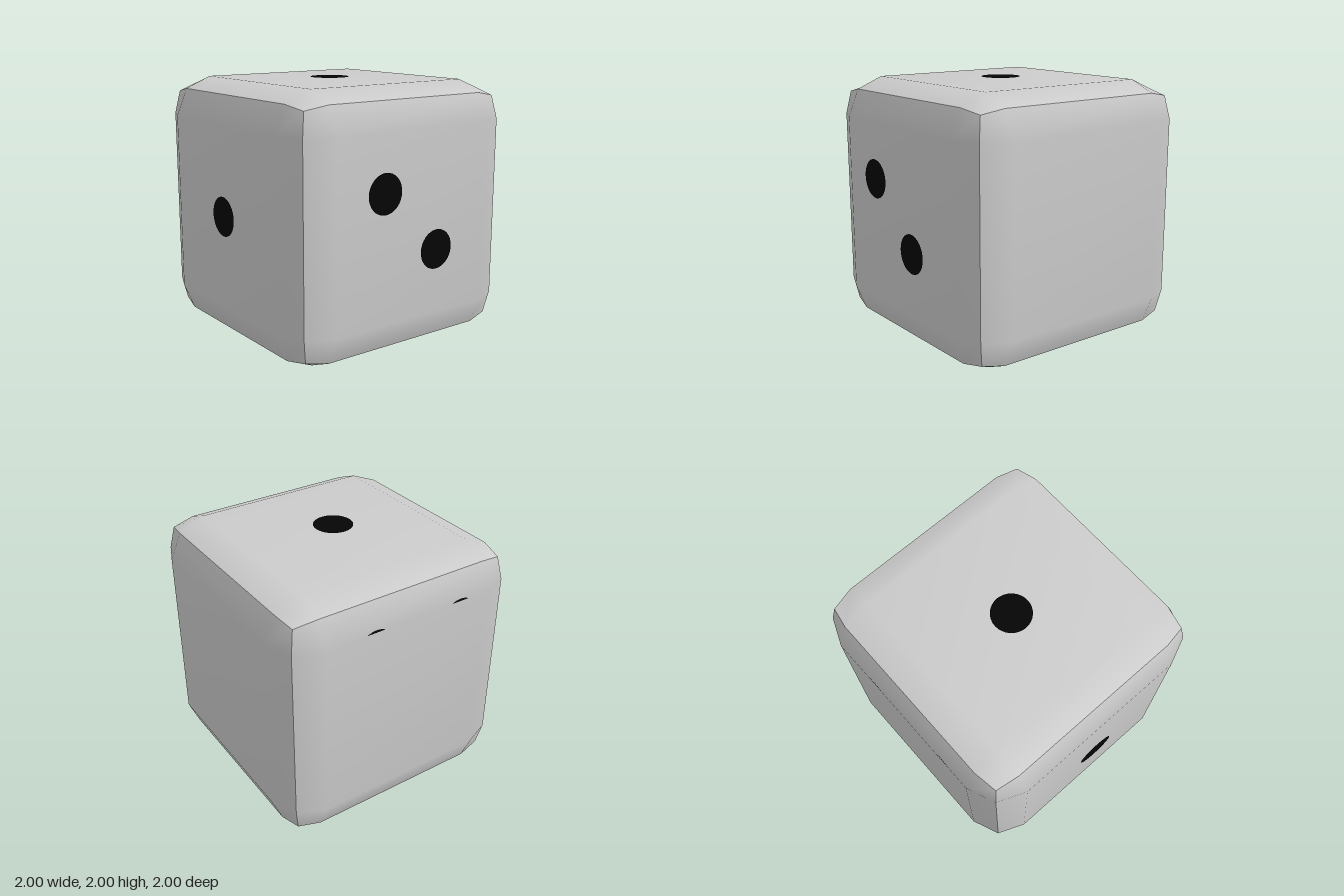
import * as THREE from 'three';

const HALF = 0.9925;  // centre to flat face
const FLAT = 0.695;   // half width of the flat area
const EDGE = 0.905;   // bevelled edge line
const CORNER = 0.873; // bevelled corner point
const PIP_RADIUS = 0.15;

const bodyMaterial = new THREE.MeshStandardMaterial({ color: 0xcccccc });
const pipMaterial = new THREE.MeshStandardMaterial({ color: 0x050505, side: THREE.DoubleSide });

// One cube side: a 3 x 3 grid whose rim is drawn back to the bevelled edges
function sideGeometry() {
  const geometry = new THREE.PlaneGeometry(2, 2, 3, 3);
  const p = geometry.attributes.position;
  for (let i = 0; i < p.count; i++) {
    const x = p.getX(i), y = p.getY(i);
    const rimX = Math.abs(x) > 0.9, rimY = Math.abs(y) > 0.9;
    const rim = rimX && rimY ? CORNER : EDGE;
    p.setXYZ(i,
      Math.sign(x) * (rimX ? rim : FLAT),
      Math.sign(y) * (rimY ? rim : FLAT),
      rimX || rimY ? rim : HALF);
  }
  geometry.computeVertexNormals();
  return geometry;
}

// Rotations that turn a +z side towards each direction
const turns = {
  front: [0, 0, 0],
  back: [0, Math.PI, 0],
  left: [0, Math.PI / 2, 0],
  right: [0, -Math.PI / 2, 0],
  top: [-Math.PI / 2, 0, 0],
  bottom: [Math.PI / 2, 0, 0],
};

// Flat spots: side they face and centre position
const pips = [
  ['front', 0.01, 1.02, 1],
  ['top', 0.005, 2, 0.025],
  ['left', 1, 1.27, 0.28],
  ['left', 1, 0.795, -0.21],
  // nearly sunk spots that only surface at the upper bevel
  ['right', -0.997, 1.57, -0.3],
  ['right', -0.997, 1.57, 0.43],
];

export function createModel() {
  const model = new THREE.Group();
  model.name = 'die';

  const body = new THREE.Group();
  body.name = 'body';
  body.position.set(-0.0075, 0.9975, -0.005);
  const side = sideGeometry();
  for (const [name, turn] of Object.entries(turns)) {
    const mesh = new THREE.Mesh(side, bodyMaterial);
    mesh.name = name + 'Side';
    mesh.rotation.set(...turn);
    body.add(mesh);
  }
  model.add(body);

  const disc = new THREE.CircleGeometry(PIP_RADIUS, 32);
  for (const [name, x, y, z] of pips) {
    const pip = new THREE.Mesh(disc, pipMaterial);
    pip.name = name + 'Pip';
    pip.rotation.set(...turns[name]);
    pip.position.set(x, y, z);
    model.add(pip);
  }
  return model;
}
